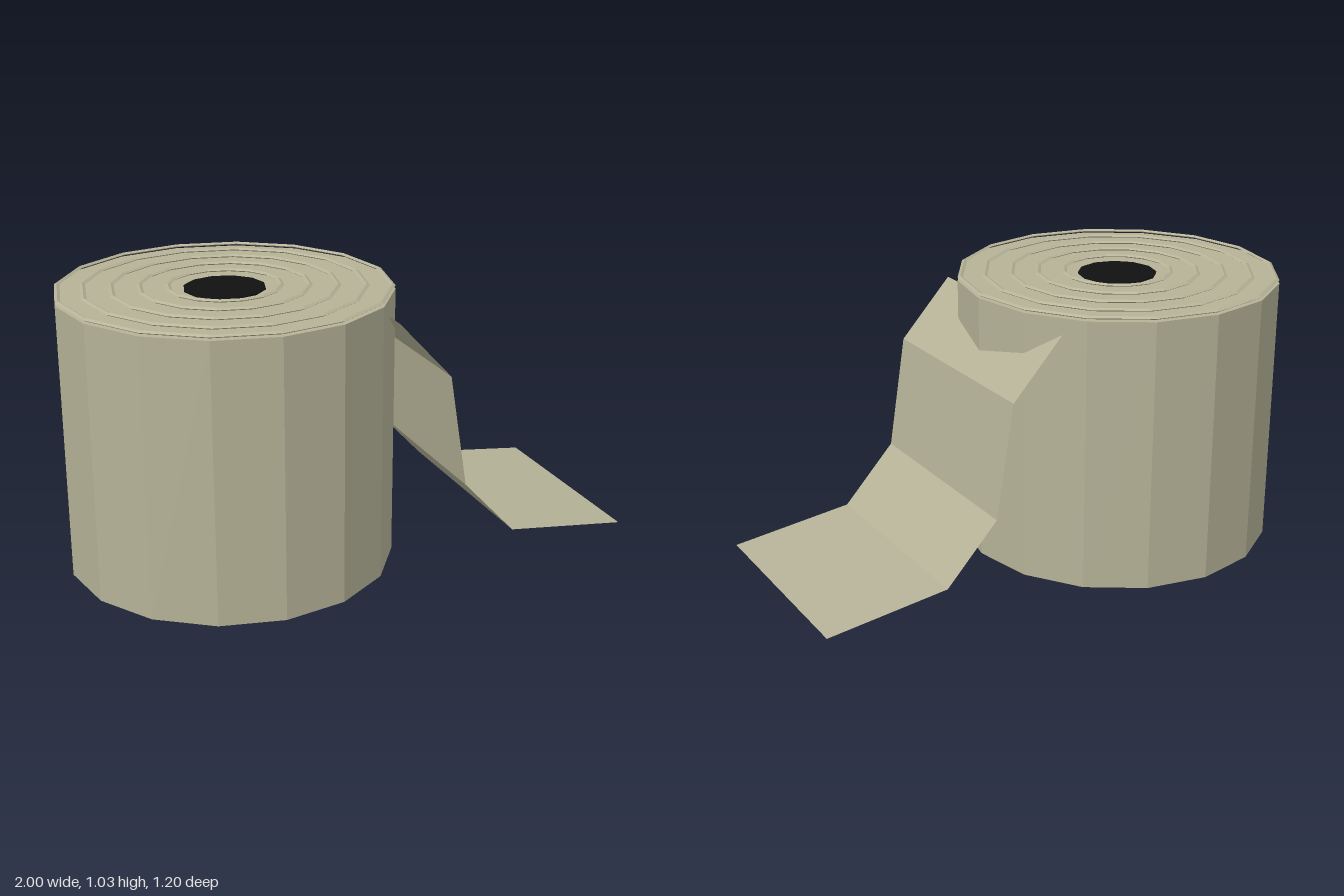
import * as THREE from 'three';

export function createModel() {
  const group = new THREE.Group();
  const paper = new THREE.MeshStandardMaterial({ color: 0xb5b297 });
  paper.name = 'paper';
  paper.flatShading = true;
  paper.side = THREE.DoubleSide;
  const black = new THREE.MeshStandardMaterial({ color: 0x111111 });
  black.name = 'black';

  const rollX = -0.4;
  const add = (name, geometry, material, x, y, z) => {
    const mesh = new THREE.Mesh(geometry, material);
    mesh.name = name;
    mesh.position.set(x, y, z);
    group.add(mesh);
    return mesh;
  };

  // Sixteen-sided roll, one corner pointing along each axis
  add('roll', new THREE.CylinderGeometry(0.6, 0.6, 1.01, 16), paper, rollX, 0.505, 0);

  // Dark core hole drawn as a thin disc on the top
  add('coreHole', new THREE.CylinderGeometry(0.147, 0.147, 0.006, 12), black, rollX, 1.012, 0);

  // Wound layers: flattened rings hovering just above the top
  [0.59, 0.5, 0.4, 0.3, 0.2].forEach((radius, i) => {
    const ring = new THREE.TorusGeometry(radius, 0.01, 4, 16);
    ring.rotateX(Math.PI / 2);
    ring.scale(1, 0.58, 1);
    add('layerRing' + (i + 1), ring, paper, rollX, 1.0215, 0);
  });

  // Loose sheet: a folded strip swept across z from an x, y profile
  const profile = [[0.07, 0.955], [0.27, 0.74], [0.34, 0.32], [0.54, 0.107], [1, 0.055]];
  const sheet = new THREE.PlaneGeometry(1, 1, 1, profile.length - 1);
  const pos = sheet.attributes.position;
  profile.forEach(([x, y], row) => {
    pos.setXYZ(row * 2, x, y, -0.35);
    pos.setXYZ(row * 2 + 1, x, y, 0.455);
  });
  // Turn the faces so that the upper side is the front
  const index = sheet.index.array;
  for (let i = 0; i < index.length; i += 3) {
    [index[i], index[i + 1]] = [index[i + 1], index[i]];
  }
  sheet.computeVertexNormals();
  add('looseSheet', sheet, paper, 0, 0, 0);

  return group;
}
